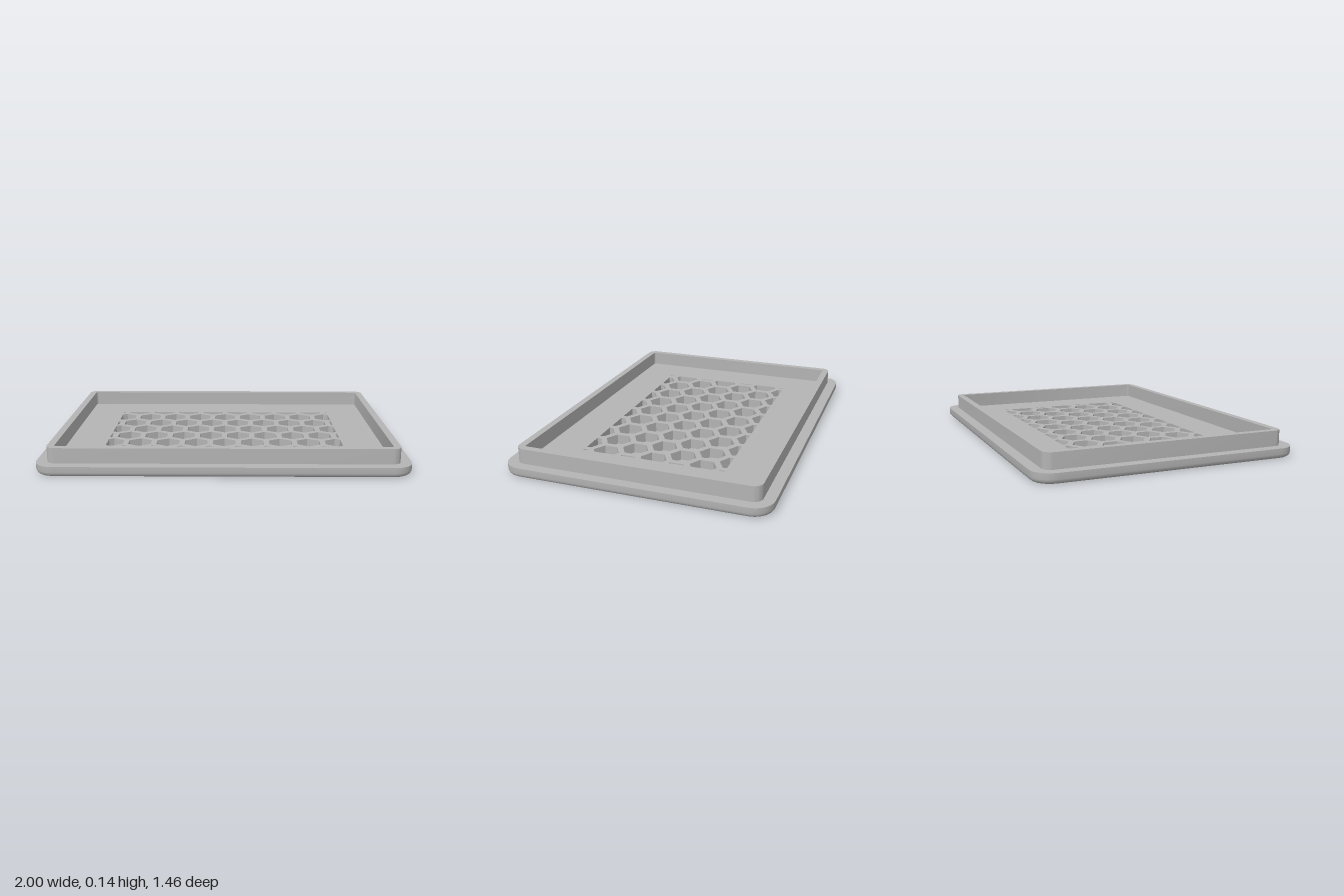
import * as THREE from 'three';
import { toCreasedNormals } from 'three/addons/utils/BufferGeometryUtils.js';

const HALF_X = 1, HALF_Z = 0.73, CORNER = 0.11;
const BASE_H = 0.056, TOTAL_H = 0.14, FILLET = 0.025;
const PITCH = 0.1623, HEX_R = 0.075, GRID_X = 0.677, GRID_Z = 0.407;

// Rounded rectangle, inset from the outer outline
function outline(inset, steps = 10) {
  const r = CORNER - inset, cx = HALF_X - CORNER, cz = HALF_Z - CORNER;
  const pts = [];
  [[1, 1], [-1, 1], [-1, -1], [1, -1]].forEach(([sx, sz], q) => {
    for (let i = 0; i <= steps; i++) {
      const a = (q + i / steps) * Math.PI / 2;
      pts.push(new THREE.Vector2(sx * cx + r * Math.cos(a), sz * cz + r * Math.sin(a)));
    }
  });
  return pts;
}

// Sweep a profile of [inset, height] pairs around the outline
function sweep(profile) {
  const rings = profile.map(([inset, y]) => outline(inset).map(p => [p.x, y, p.y]));
  const n = rings[0].length, pos = [];
  for (let j = 0; j < rings.length - 1; j++) {
    for (let i = 0; i < n; i++) {
      const k = (i + 1) % n;
      const a = rings[j][i], b = rings[j + 1][i], c = rings[j + 1][k], d = rings[j][k];
      pos.push(...a, ...b, ...d, ...b, ...c, ...d);
    }
  }
  const g = new THREE.BufferGeometry();
  g.setAttribute('position', new THREE.Float32BufferAttribute(pos, 3));
  return toCreasedNormals(g, 0.5);
}

// Cut a convex polygon to |axis| <= limit
function clip(pts, axis, limit) {
  for (const s of [1, -1]) {
    const out = [];
    pts.forEach((p, i) => {
      const q = pts[(i + 1) % pts.length];
      const dp = limit - s * p[axis], dq = limit - s * q[axis];
      if (dp >= 0) out.push(p);
      if (dp * dq < 0) out.push(p.clone().lerp(q, dp / (dp - dq)));
    });
    pts = out;
  }
  return pts;
}

// Honeycomb openings, trimmed to a rectangle
function hexHoles() {
  const holes = [];
  for (let row = -3; row <= 3; row++) {
    const shift = row % 2 ? 0.5 : 0;
    for (let col = -5; col <= 5; col++) {
      const cx = (col + shift) * PITCH, cz = row * PITCH * Math.sqrt(3) / 2;
      let pts = [];
      for (let i = 0; i < 6; i++) {
        const a = (i + 0.5) * Math.PI / 3;
        pts.push(new THREE.Vector2(cx + HEX_R * Math.cos(a), cz + HEX_R * Math.sin(a)));
      }
      pts = clip(clip(pts, 'x', GRID_X), 'y', GRID_Z);
      if (pts.length > 2) holes.push(new THREE.Path(pts));
    }
  }
  return holes;
}

export function createModel() {
  const group = new THREE.Group();
  group.name = 'ventCover';
  const grey = new THREE.MeshStandardMaterial({ color: 0xb4b4b4 });
  grey.name = 'grey';
  const add = (name, geometry) => {
    const mesh = new THREE.Mesh(geometry, grey);
    mesh.name = name;
    group.add(mesh);
  };

  // Perforated plate
  const shape = new THREE.Shape(outline(FILLET));
  shape.holes = hexHoles();
  const plate = new THREE.ExtrudeGeometry(shape, { depth: BASE_H, bevelEnabled: false });
  plate.rotateX(Math.PI / 2).translate(0, BASE_H, 0);
  add('perforatedPlate', plate);

  // Flange edge, rounded underneath
  const edge = [];
  for (let i = 0; i <= 4; i++) {
    const a = i / 4 * Math.PI / 2;
    edge.push([FILLET * (1 - Math.sin(a)), FILLET * (1 - Math.cos(a))]);
  }
  edge.push([0, BASE_H], [FILLET, BASE_H]);
  add('flangeEdge', sweep(edge));

  // Raised rim
  add('rim', sweep([[0.06, BASE_H], [0.06, TOTAL_H], [0.1, TOTAL_H], [0.1, BASE_H]]));

  return group;
}
